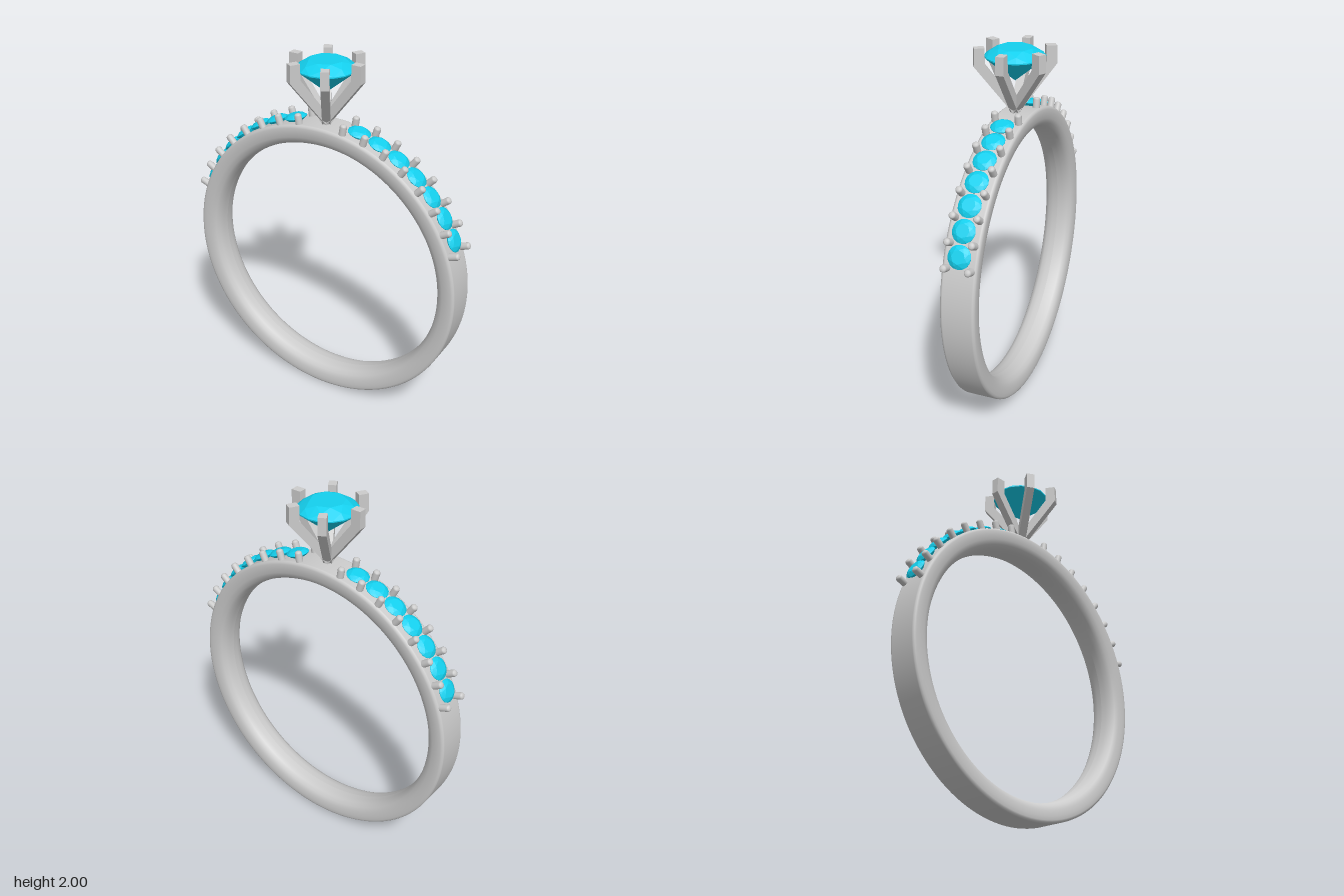
import * as THREE from 'three';
import { ConvexGeometry } from 'three/addons/geometries/ConvexGeometry.js';

const metal = new THREE.MeshStandardMaterial({ color: 0xcccccc });
const stone = new THREE.MeshStandardMaterial({ color: 0x14d0ee });
const DEG = Math.PI / 180;

function part(name, geometry, material) {
  const mesh = new THREE.Mesh(geometry, material);
  mesh.name = name;
  return mesh;
}

// Round faceted gem of girdle radius r, girdle at y = 0, table facing +y
function gemGeometry(r) {
  const points = [new THREE.Vector3(0, -0.83 * r, 0)];
  const ring = (radius, y, count, offset) => {
    for (let i = 0; i < count; i++) {
      const a = (i + offset) / count * Math.PI * 2;
      points.push(new THREE.Vector3(Math.cos(a) * radius * r, y * r, Math.sin(a) * radius * r));
    }
  };
  ring(0.58, 0.29, 8, 0);    // table
  ring(0.82, 0.17, 8, 0.5);  // crown kites
  ring(1, 0.02, 16, 0);      // girdle
  ring(1, -0.02, 16, 0);
  return new ConvexGeometry(points);
}

// Band: flat outside with softened edges, rounded comfort fit inside
function bandGeometry() {
  const half = [[0.705, 0], [0.707, 0.03], [0.714, 0.058], [0.729, 0.079], [0.755, 0.09],
    [0.785, 0.0935], [0.805, 0.093], [0.815, 0.09], [0.821, 0.083], [0.822, 0.076]];
  const loop = [
    ...half.map(([r, z]) => new THREE.Vector2(r, -z)),
    ...half.slice().reverse().map(([r, z]) => new THREE.Vector2(r, z)),
  ];
  return new THREE.LatheGeometry(loop, 128).rotateX(Math.PI / 2);
}

// Bent claw in the x-y plane: slanted leg, then an upright tip
function clawGeometry() {
  const outline = [[-0.01, 1.62], [0.012, 1.645], [0.214, 1.905], [0.212, 2],
    [0.158, 2], [0.158, 1.915], [-0.01, 1.69]];
  const shape = new THREE.Shape(outline.map(([x, y]) => new THREE.Vector2(x, y)));
  return new THREE.ExtrudeGeometry(shape, { depth: 0.044, bevelEnabled: false }).translate(0, 0, -0.022);
}

export function createModel() {
  const model = new THREE.Group();
  model.name = 'ring';

  // Band with its side stones leans very slightly
  const shank = new THREE.Group();
  shank.name = 'shank';
  shank.position.set(0, 0.825, -0.011);
  shank.rotation.x = 0.007;
  shank.add(part('band', bandGeometry(), metal));
  model.add(shank);

  // Side stones and paired pins along both shoulders
  const sideGem = gemGeometry(0.061);
  const pin = new THREE.LatheGeometry(
    [[0.019, 0.79], [0.019, 0.866], [0.016, 0.873], [0.01, 0.877], [0, 0.878]]
      .map(([r, y]) => new THREE.Vector2(r, y)), 16);
  const step = 8.62;
  for (const side of [1, -1]) {
    const shoulder = new THREE.Group();
    shoulder.name = side > 0 ? 'leftShoulder' : 'rightShoulder';
    for (let i = 0; i < 8; i++) {
      const station = new THREE.Group();
      station.name = 'pinPair';
      station.rotation.z = -side * (9.2 + step * i) * DEG;
      for (const z of [-0.064, 0.064]) {
        const mesh = part('pin', pin, metal);
        mesh.position.z = z;
        station.add(mesh);
      }
      shoulder.add(station);
      if (i === 7) continue;
      const a = (9.2 + step * (i + 0.5)) * DEG;
      const gem = part('sideStone', sideGem, stone);
      gem.position.set(side * Math.sin(a) * 0.837, Math.cos(a) * 0.837, 0);
      gem.rotation.z = -side * a;
      shoulder.add(gem);
    }
    shank.add(shoulder);
  }

  // Centre stone held by six claws
  const setting = new THREE.Group();
  setting.name = 'setting';
  const centre = part('centreStone', gemGeometry(0.158), stone);
  centre.position.y = 1.95;
  setting.add(centre);
  const claw = clawGeometry();
  for (let i = 0; i < 6; i++) {
    const mesh = part('claw', claw, metal);
    mesh.rotation.y = i * Math.PI / 3;
    setting.add(mesh);
  }
  model.add(setting);

  return model;
}
